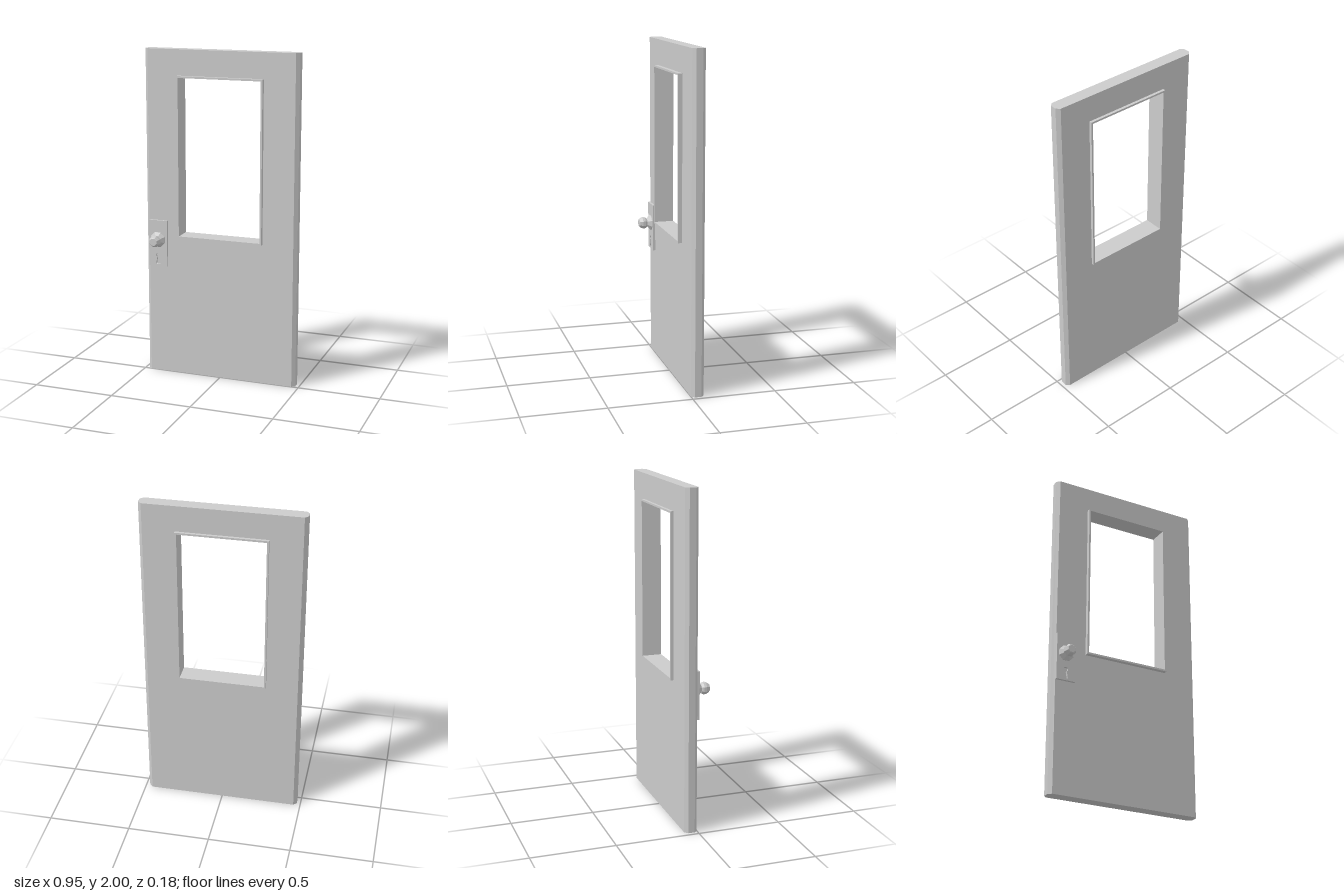
import * as THREE from 'three';

const BACK = -0.077, FACE_X = 0.457, EDGE_X = 0.477, BEVEL = 0.019;

export function createModel() {
  const door = new THREE.Group();
  door.name = 'door';
  const material = new THREE.MeshStandardMaterial({ color: 0xcccccc, flatShading: true });

  const add = (name, geometry) => {
    const mesh = new THREE.Mesh(geometry, material);
    mesh.name = name;
    door.add(mesh);
    return mesh;
  };
  const outline = (pts) => new THREE.Shape(pts.map(([x, y]) => new THREE.Vector2(x, y)));
  const rect = (x0, x1, y0, y1) => outline([[x0, y0], [x1, y0], [x1, y1], [x0, y1]]);

  // Extrude a shape, with optional hole, between two z depths
  const slab = (shape, z0, z1, hole) => {
    if (hole) shape.holes.push(hole);
    return new THREE.ExtrudeGeometry(shape, { depth: z1 - z0, bevelEnabled: false, curveSegments: 6 })
      .translate(0, 0, z0);
  };

  // Door leaf with the window opening
  add('doorPanel', slab(rect(-FACE_X, FACE_X, 0, 2), BACK, 0, rect(-0.26, 0.26, 0.875, 1.84)));

  // Chamfered vertical edges, drawn in plan and raised to full height
  for (const side of [-1, 1]) {
    const plan = outline([
      [side * FACE_X, 0], [side * EDGE_X, BEVEL],
      [side * EDGE_X, -BACK - BEVEL], [side * FACE_X, -BACK],
    ]);
    add(side < 0 ? 'rightEdge' : 'leftEdge', slab(plan, 0, 2).rotateX(-Math.PI / 2));
  }

  // Thin window frame lining the opening and standing proud on both faces
  add('windowFrame', slab(rect(-0.267, 0.267, 0.868, 1.846), -0.094, 0.025,
    rect(-0.256, 0.256, 0.879, 1.835)));

  // Lock plate with a keyhole: round head over a flared slot
  const keyX = -0.398, keyY = 0.746;
  const keyhole = new THREE.Path();
  keyhole.moveTo(keyX - 0.014, 0.69);
  keyhole.lineTo(keyX + 0.014, 0.69);
  keyhole.lineTo(keyX + 0.006, keyY - 0.012);
  keyhole.absarc(keyX, keyY, 0.0134, -1.107, Math.PI + 1.107, false);
  keyhole.closePath();
  add('lockPlate', slab(rect(-0.457, -0.338, 0.677, 0.965), 0, 0.014, keyhole));

  // Eight-sided knob on a flared rose
  const profile = [
    [0, 0.012], [0.049, 0.012], [0.049, 0.017], [0.025, 0.04], [0.029, 0.042],
    [0.036, 0.054], [0.036, 0.069], [0.027, 0.087], [0.023, 0.09], [0, 0.09],
  ].map(([r, z]) => new THREE.Vector2(r, z));
  const knob = add('knob', new THREE.LatheGeometry(profile, 8, Math.PI / 8).rotateX(Math.PI / 2));
  knob.position.set(-0.398, 0.845, 0);

  return door;
}
